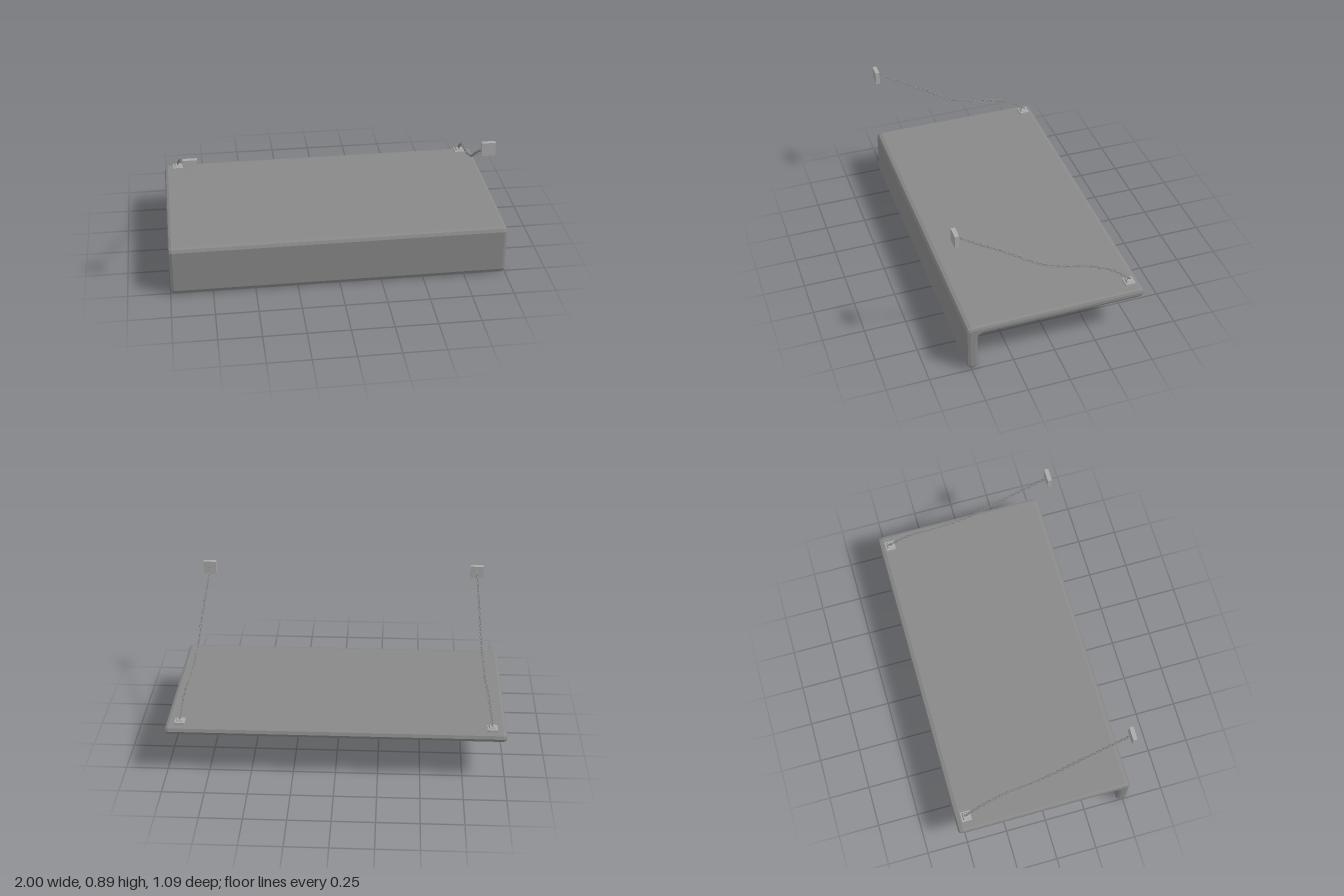
import * as THREE from 'three';

const paint = (color) => new THREE.MeshStandardMaterial({ color, flatShading: true });
const boardPaint = paint(0x888888);
const platePaint = paint(0xaaaaaa);
const chainPaint = paint(0x888888);

function add(parent, name, geometry, material, x = 0, y = 0, z = 0) {
  const mesh = new THREE.Mesh(geometry, material);
  mesh.name = name;
  mesh.position.set(x, y, z);
  parent.add(mesh);
  return mesh;
}

// L-shaped board: profile drawn as (-z, y), extruded along x with bevelled ends
function boardGeometry() {
  const profile = [
    [-0.525, 0.03], [-0.525, 0.285], [-0.515, 0.303], [-0.495, 0.31],
    [0.515, 0.31], [0.537, 0.302], [0.545, 0.283], [0.535, 0.263], [0.515, 0.253],
    [-0.43, 0.253], [-0.45, 0.243], [-0.457, 0.223],
    [-0.457, 0.03], [-0.465, 0.01], [-0.49, 0], [-0.515, 0.01],
  ].map(([u, y]) => new THREE.Vector2(u, y)).reverse();
  const bevel = 0.02;
  const geometry = new THREE.ExtrudeGeometry(new THREE.Shape(profile), {
    depth: 2 - 2 * bevel, bevelEnabled: true, bevelThickness: bevel,
    bevelSize: bevel, bevelOffset: -bevel, bevelSegments: 2,
  });
  geometry.translate(0, 0, -(1 - bevel));
  geometry.rotateY(Math.PI / 2);
  return geometry;
}

// Chain: oval links along a sagging curve, each turned a quarter from the last
function chain(side) {
  const group = new THREE.Group();
  group.name = 'chain';
  const curve = new THREE.CatmullRomCurve3([
    [0.845, 0.857, 0.522], [0.85, 0.78, 0.4], [0.86, 0.655, 0.2], [0.865, 0.585, 0.1],
    [0.87, 0.535, 0], [0.875, 0.505, -0.1], [0.88, 0.483, -0.2], [0.892, 0.455, -0.3],
    [0.902, 0.418, -0.38], [0.911, 0.36, -0.455], [0.915, 0.337, -0.485],
  ].map(([x, y, z]) => new THREE.Vector3(side * x, y, z)));
  const link = new THREE.TorusGeometry(0.0068, 0.0026, 5, 12);
  link.scale(1.8, 1, 1);
  const count = Math.round(curve.getLength() / 0.02);
  for (let i = 0; i < count; i++) {
    const t = (i + 0.5) / count;
    const along = curve.getTangentAt(t);
    const normal = new THREE.Vector3(1, 0, 0).addScaledVector(along, -along.x).normalize();
    const up = new THREE.Vector3().crossVectors(normal, along);
    const mesh = add(group, 'chainLink', link, chainPaint);
    mesh.position.copy(curve.getPointAt(t));
    mesh.quaternion.setFromRotationMatrix(new THREE.Matrix4().makeBasis(along, up, normal));
    // the chain twists slowly back and forth along its length
    const twist = (Math.PI / 8) * (1 - Math.cos((2 * Math.PI * (t - 0.38)) / 0.45));
    mesh.rotateX((i % 2) * Math.PI / 2 + twist);
  }
  return group;
}

export function createModel() {
  const model = new THREE.Group();
  model.name = 'hangingShelf';
  add(model, 'board', boardGeometry(), boardPaint);

  // Four-sided taper for the anchor's upper step
  const step = new THREE.CylinderGeometry(0.022, 0.032, 0.012, 4);
  step.rotateY(Math.PI / 4);

  for (const side of [-1, 1]) {
    // Upright mounting plate at the free end of the chain
    add(model, 'mountingPlate', new THREE.BoxGeometry(0.08, 0.08, 0.025), platePaint,
      side * 0.845, 0.855, 0.534);

    // Stepped anchor and eye on the shelf
    const anchor = new THREE.Group();
    anchor.name = 'shelfAnchor';
    anchor.position.set(side * 0.915, 0.31, -0.478);
    add(anchor, 'anchorBase', new THREE.BoxGeometry(0.06, 0.015, 0.06), platePaint, 0, 0.0065, 0);
    add(anchor, 'anchorStep', step, platePaint, 0, 0.019, 0);
    const eye = add(anchor, 'anchorEye', new THREE.TorusGeometry(0.009, 0.003, 6, 14), chainPaint, 0, 0.027, 0);
    eye.rotation.y = Math.PI / 2;
    model.add(anchor);

    model.add(chain(side));
  }
  return model;
}
